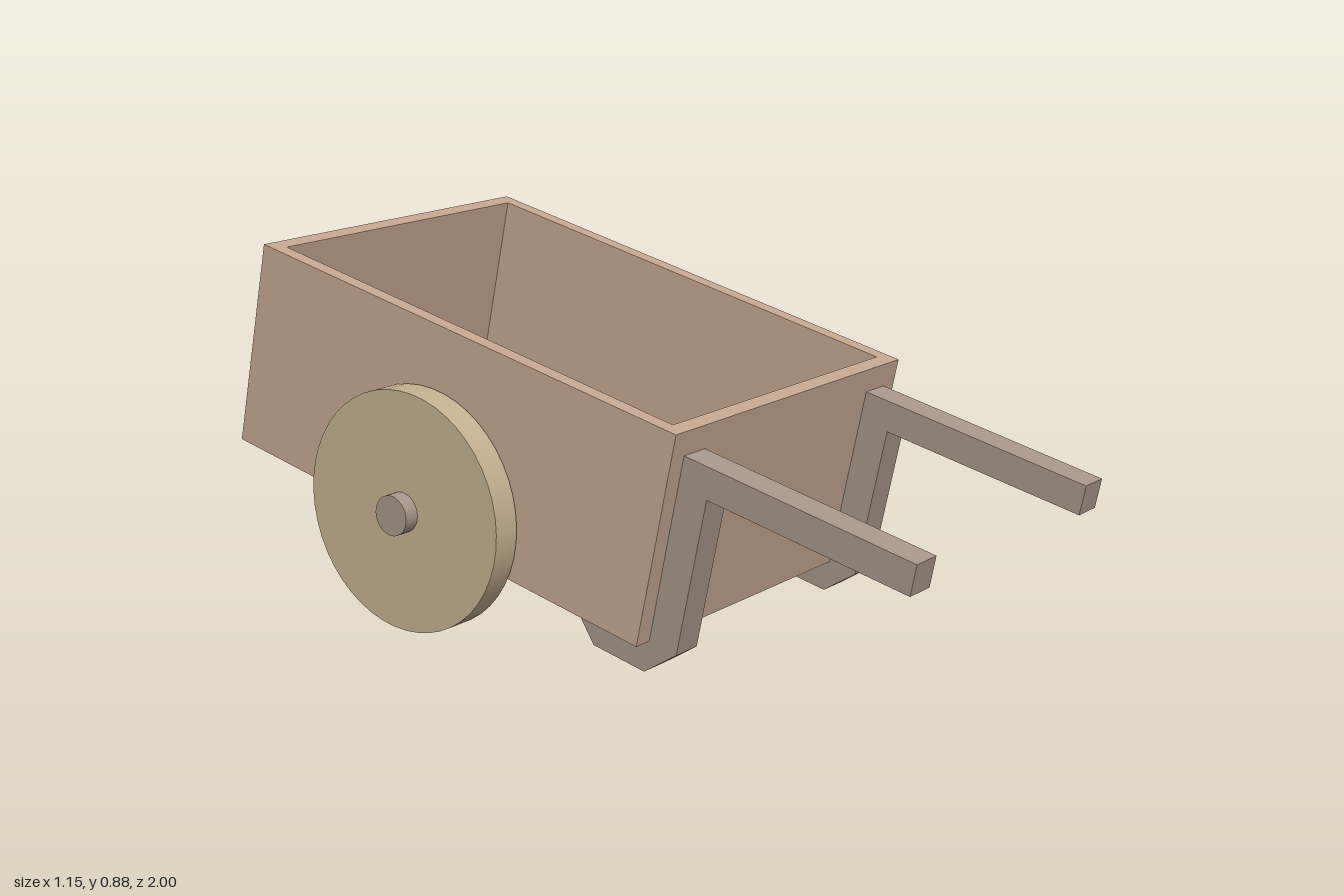
import * as THREE from 'three';

const bodyMat = new THREE.MeshStandardMaterial({ color: 0xc4a690 });
const wheelMat = new THREE.MeshStandardMaterial({ color: 0xc4b090 });
const frameMat = new THREE.MeshStandardMaterial({ color: 0xa6958a });

function addMesh(parent, name, geometry, material) {
  const mesh = new THREE.Mesh(geometry, material);
  mesh.name = name;
  parent.add(mesh);
  return mesh;
}

// Counter-clockwise rectangle centred on the origin
function rectangle(w, h) {
  return [[-w, -h], [w, -h], [w, h], [-w, h]].map(([x, y]) => new THREE.Vector2(x / 2, y / 2));
}

// Side profile given as [z, y], extruded across x and centred
function sideProfile(points, width) {
  const shape = new THREE.Shape(points.map(([z, y]) => new THREE.Vector2(z, y)));
  return new THREE.ExtrudeGeometry(shape, { depth: width, bevelEnabled: false })
    .translate(0, 0, -width / 2)
    .rotateY(-Math.PI / 2);
}

export function createModel() {
  const cart = new THREE.Group();
  cart.name = 'handCart';

  // Tilted open box: four walls around a floor
  const width = 0.916, length = 1.317, height = 0.532, wall = 0.04;
  const box = new THREE.Group();
  box.name = 'cartBox';
  box.position.set(0, 0.48, -0.298);
  box.rotation.x = 0.214;
  cart.add(box);

  const rim = new THREE.Shape(rectangle(width, length));
  rim.holes.push(new THREE.Path(rectangle(width - 2 * wall, length - 2 * wall).reverse()));
  const walls = new THREE.ExtrudeGeometry(rim, { depth: height, bevelEnabled: false })
    .translate(0, 0, -height / 2)
    .rotateX(-Math.PI / 2);
  addMesh(box, 'walls', walls, bodyMat);
  const floor = addMesh(box, 'floor',
    new THREE.BoxGeometry(width - 2 * wall, wall, length - 2 * wall), bodyMat);
  floor.position.y = -height / 2 + wall / 2;

  // Handle, leg and foot cut as one piece that hugs the front of the box
  const handleProfile = [
    [0.388, 0.54], [0.29, 0.08], [0.065, 0.128], [0.125, 0.035],
    [0.275, 0.003], [0.368, 0.063], [0.452, 0.448], [0.985, 0.333], [1.0, 0.407],
  ];

  for (const side of [1, -1]) {
    const label = side > 0 ? 'left' : 'right';

    const handle = addMesh(cart, label + 'HandleAndLeg', sideProfile(handleProfile, 0.078), frameMat);
    handle.position.x = side * 0.372;

    // Disc wheel on a short axle stub
    const wheel = addMesh(cart, label + 'Wheel',
      new THREE.CylinderGeometry(0.3, 0.3, 0.072, 48).rotateZ(Math.PI / 2), wheelMat);
    wheel.position.set(side * 0.5, 0.3, -0.362);

    const axle = addMesh(cart, label + 'Axle',
      new THREE.CylinderGeometry(0.05, 0.05, 0.13, 32).rotateZ(Math.PI / 2), frameMat);
    axle.position.set(side * 0.51, 0.3, -0.362);
  }

  return cart;
}
